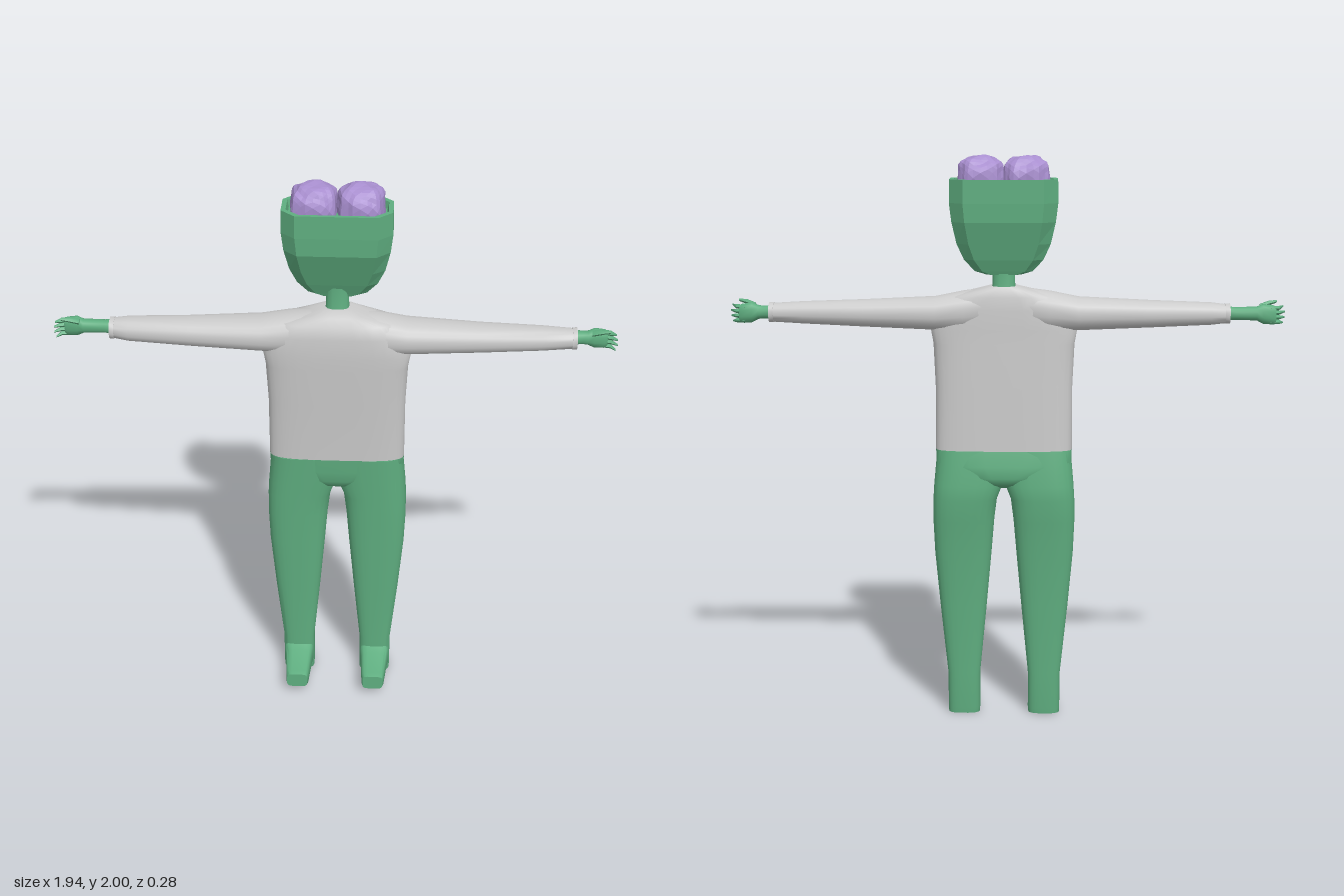
import * as THREE from 'three';
import { toCreasedNormals } from 'three/addons/utils/BufferGeometryUtils.js';

const skin = new THREE.MeshStandardMaterial({ color: 0x5fae80 });
const skinFlat = new THREE.MeshStandardMaterial({ color: 0x5fae80, flatShading: true });
const cloth = new THREE.MeshStandardMaterial({ color: 0xcccccc });
const brainMat = new THREE.MeshStandardMaterial({ color: 0xa98fd0, flatShading: true });
const CX = 0.01; // the body's midline

// Unit outlines for cross-sections
function roundOutline(n, power) {
  return Array.from({ length: n }, (_, i) => {
    const a = ((i + 0.5) / n) * Math.PI * 2;
    const f = (c) => Math.sign(c) * Math.abs(c) ** (2 / power);
    return [f(Math.cos(a)), f(Math.sin(a))];
  });
}
const octagon = [[1, -0.5], [1, 0.5], [0.74, 1], [-0.74, 1], [-1, 0.5], [-1, -0.5], [-0.74, -1], [0.74, -1]];

// Skins sections [position, uMin, uMax, vMin, vMax] along an axis and closes both ends
function loft(axis, sections, outline) {
  const n = outline.length, pos = [], idx = [];
  const put = (t, u, v) => pos.push(...(axis === 'y' ? [u, t, v] : axis === 'x' ? [t, u, v] : [u, v, t]));
  for (const [t, u0, u1, v0, v1] of sections)
    for (const [a, b] of outline) put(t, (u0 + u1) / 2 + (a * (u1 - u0)) / 2, (v0 + v1) / 2 + (b * (v1 - v0)) / 2);
  for (let s = 0; s < sections.length - 1; s++)
    for (let i = 0; i < n; i++) {
      const a = s * n + i, b = s * n + ((i + 1) % n);
      idx.push(a, b, a + n, b, b + n, a + n);
    }
  [0, sections.length - 1].forEach((s, end) => {
    const [t, u0, u1, v0, v1] = sections[s], c = pos.length / 3;
    put(t, (u0 + u1) / 2, (v0 + v1) / 2);
    for (let i = 0; i < n; i++) {
      const a = s * n + i, b = s * n + ((i + 1) % n);
      idx.push(...(end ? [c, a, b] : [c, b, a]));
    }
  });
  // Turn the faces outward if the enclosed volume is negative
  const p = (i) => new THREE.Vector3().fromArray(pos, i * 3);
  let volume = 0;
  for (let i = 0; i < idx.length; i += 3) volume += p(idx[i]).dot(p(idx[i + 1]).cross(p(idx[i + 2])));
  if (volume < 0) idx.reverse();
  const g = new THREE.BufferGeometry();
  g.setAttribute('position', new THREE.Float32BufferAttribute(pos, 3));
  g.setIndex(idx);
  return toCreasedNormals(g, 0.9);
}

function add(parent, name, geometry, material) {
  const mesh = new THREE.Mesh(geometry, material);
  mesh.name = name;
  parent.add(mesh);
  return mesh;
}

// Sections given as [y, halfWidth, zBack, zFront] around the midline
const centred = (rows) => rows.map(([y, w, b, f]) => [y, CX - w, CX + w, b, f]);
// Sections along x for one side
const sided = (s, rows) => rows.map(([x, ...r]) => [s * x, ...r]);

// One lumpy half of the brain
function brainHalf(s) {
  const g = new THREE.IcosahedronGeometry(1, 4), p = g.attributes.position, v = new THREE.Vector3();
  const soft = (c, k) => Math.sign(c) * Math.abs(c) ** k;
  for (let i = 0; i < p.count; i++) {
    v.fromBufferAttribute(p, i);
    const bump = 0.96 + 0.05 * Math.sin(7 * v.x + 2 * s) * Math.cos(6 * v.z + s) + 0.025 * Math.sin(9 * v.y + 4 * v.x);
    const taper = 1 - 0.2 * Math.max(0, v.y);
    p.setXYZ(i, CX + s * 0.078 + 0.083 * soft(v.x, 0.75) * bump,
      1.925 + 0.076 * soft(v.y, 0.7) * bump, -0.05 + 0.081 * soft(v.z, 0.75) * bump * taper);
  }
  g.computeVertexNormals();
  return g;
}

function makeHand(s, cuff) {
  const hand = new THREE.Group();
  hand.name = s > 0 ? 'leftHand' : 'rightHand';
  add(hand, 'palm', loft('x', sided(s, [
    [cuff - 0.03, 1.43, 1.482, -0.068, -0.012], [cuff + 0.02, 1.434, 1.478, -0.064, -0.016],
    [0.868, 1.432, 1.48, -0.064, -0.014], [0.89, 1.42, 1.49, -0.064, -0.02],
    [0.925, 1.418, 1.486, -0.06, -0.025], [0.935, 1.422, 1.48, -0.055, -0.03]]), roundOutline(12, 2.4)), skin);
  // Four fingers curl forward
  for (let i = 0; i < 4; i++) {
    const y = 1.427 + i * 0.016, tip = y + (i - 1.5) * 0.003, end = i === 0 || i === 3 ? 0.962 : 0.968;
    add(hand, 'finger', loft('x', sided(s, [
      [0.915, y - 0.009, y + 0.009, -0.058, -0.034], [0.945, y - 0.008, y + 0.008, -0.05, -0.026],
      [end, tip - 0.003, tip + 0.003, -0.022, -0.012]]), roundOutline(6, 2)), skin);
  }
  // Thumb on the upper edge
  add(hand, 'thumb', loft('x', sided(s, [
    [0.88, 1.468, 1.488, -0.04, -0.012], [0.91, 1.48, 1.498, -0.028, -0.004],
    [0.94, 1.49, 1.5, -0.014, -0.002]]), roundOutline(6, 2)), skin);
  return hand;
}

function makeArm(s, cuff) {
  const arm = new THREE.Group();
  arm.name = s > 0 ? 'leftArm' : 'rightArm';
  add(arm, 'sleeve', loft('x', sided(s, [
    [0.05, 1.4, 1.545, -0.1, 0.045], [0.15, 1.392, 1.532, -0.108, 0.05], [0.25, 1.396, 1.512, -0.11, 0.048],
    [0.5, 1.406, 1.5, -0.092, 0.033], [0.71, 1.416, 1.493, -0.083, 0.02],
    [cuff - 0.012, 1.422, 1.487, -0.072, 0.006]]), roundOutline(20, 2.4)), cloth);
  add(arm, 'cuff', loft('x', sided(s, [
    [cuff - 0.016, 1.42, 1.489, -0.074, 0.008], [cuff, 1.42, 1.49, -0.074, 0.008]]), roundOutline(20, 2.4)), cloth);
  arm.add(makeHand(s, cuff));
  return arm;
}

function makeLeg(s) {
  const leg = new THREE.Group();
  leg.name = s > 0 ? 'leftLeg' : 'rightLeg';
  const span = (a, b) => (s > 0 ? [CX + a, CX + b] : [CX - b, CX - a]);
  // Rows: y, inner, outer, zBack, zFront
  const rows = [[0, 0.088, 0.2, -0.082, -0.012], [0.02, 0.086, 0.201, -0.084, -0.01], [0.15, 0.086, 0.202, -0.085, -0.01],
    [0.4, 0.062, 0.228, -0.093, 0.002], [0.6, 0.044, 0.246, -0.106, 0.01], [0.72, 0.034, 0.251, -0.12, 0.016],
    [0.8, 0.024, 0.25, -0.13, 0.02], [0.85, 0.004, 0.247, -0.13, 0.023], [0.974, -0.02, 0.236, -0.11, 0.03]];
  add(leg, 'trouserLeg', loft('y', rows.map(([y, a, b, ...z]) => [y, ...span(a, b), ...z]), roundOutline(24, 2.9)), skin);
  // Foot points forward, with its sole a little above the heel
  add(leg, 'foot', loft('z', [[-0.05, 0.09, 0.198, 0.015, 0.13], [-0.012, 0.09, 0.198, 0.018, 0.118],
    [0.012, 0.094, 0.193, 0.02, 0.102], [0.12, 0.1, 0.184, 0.026, 0.094], [0.138, 0.104, 0.18, 0.032, 0.088]]
    .map(([z, a, b, ...y]) => [z, ...span(a, b), ...y]), roundOutline(16, 4.5)), skin);
  return leg;
}

export function createModel() {
  const model = new THREE.Group();
  model.name = 'figure';

  // Shirt body and hips
  add(model, 'shirt', loft('y', centred([
    [0.975, 0.24, -0.11, 0.03], [1.2, 0.24, -0.107, 0.042], [1.35, 0.247, -0.104, 0.054], [1.4, 0.256, -0.103, 0.056],
    [1.47, 0.24, -0.104, 0.057], [1.515, 0.19, -0.1, 0.05], [1.54, 0.09, -0.095, 0.03], [1.552, 0.05, -0.088, 0]]),
    roundOutline(32, 3.6)), cloth);
  add(model, 'hips', loft('y', centred([
    [0.84, 0.015, -0.09, -0.02], [0.855, 0.06, -0.118, 0.012], [0.88, 0.15, -0.126, 0.022],
    [0.92, 0.238, -0.122, 0.026], [0.975, 0.24, -0.11, 0.03]]), roundOutline(32, 3.6)), skin);

  // Limbs: the right sleeve is the shorter one
  model.add(makeArm(1, 0.83), makeArm(-1, 0.775), makeLeg(1), makeLeg(-1));

  // Neck and angular, open-topped head
  add(model, 'neck', loft('y', centred([[1.53, 0.045, -0.092, -0.012], [1.56, 0.04, -0.087, -0.018],
    [1.64, 0.04, -0.087, -0.018]]), roundOutline(12, 2.8)), skin);
  add(model, 'head', loft('y', centred([
    [1.593, 0.06, -0.085, -0.035], [1.605, 0.1, -0.09, -0.03], [1.645, 0.137, -0.105, -0.012],
    [1.7, 0.162, -0.12, 0.01], [1.775, 0.179, -0.14, 0.04], [1.84, 0.187, -0.143, 0.043], [1.92, 0.186, -0.143, 0.043],
    [1.92, 0.17, -0.13, 0.03], [1.895, 0.165, -0.127, 0.027]]), octagon), skinFlat);

  // Two-part brain
  const brain = new THREE.Group();
  brain.name = 'brain';
  add(brain, 'leftBrainHalf', brainHalf(1), brainMat);
  add(brain, 'rightBrainHalf', brainHalf(-1), brainMat);
  model.add(brain);
  return model;
}
